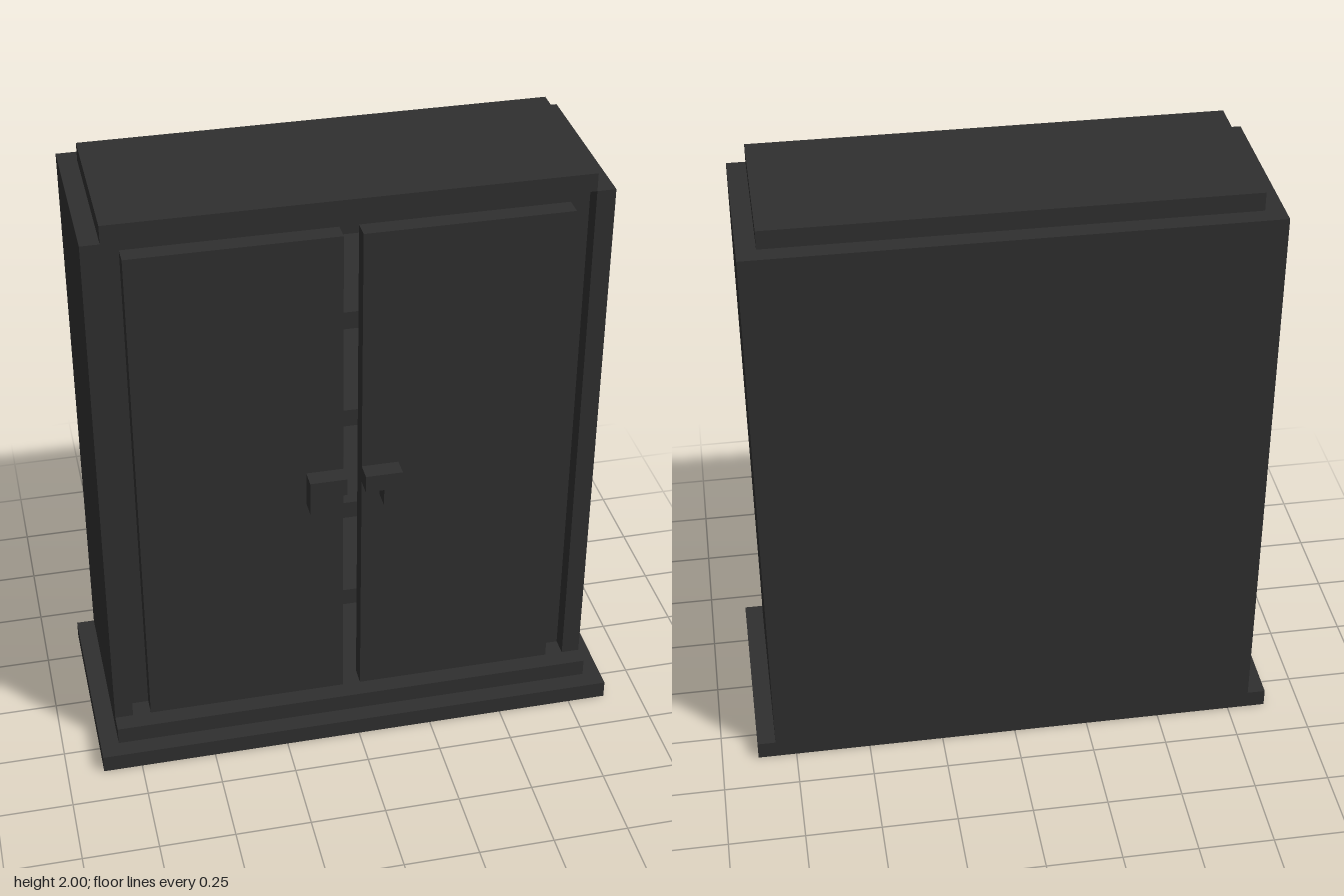
import * as THREE from 'three';

// All sizes below are in whole cells; the cabinet is 33 cells tall.
const U = 2 / 33;

export function createModel() {
  const model = new THREE.Group();
  model.name = 'cabinet';
  const charcoal = new THREE.MeshStandardMaterial({ color: 0x2f2f2f });
  charcoal.name = 'charcoal';

  // Box between two corners, given as ranges in cells
  function block(name, [x0, x1], [y0, y1], [z0, z1]) {
    const mesh = new THREE.Mesh(
      new THREE.BoxGeometry((x1 - x0) * U, (y1 - y0) * U, (z1 - z0) * U), charcoal);
    mesh.position.set((x0 + x1) / 2 * U, (y0 + y1) / 2 * U, (z0 + z1) / 2 * U);
    mesh.name = name;
    model.add(mesh);
  }

  // The same box on both sides; x0 and x1 are given for the left (+x) side
  function pair(name, [x0, x1], y, z) {
    block(name + 'Left', [x0, x1], y, z);
    block(name + 'Right', [-x1, -x0], y, z);
  }

  // Stepped plinth and top cap
  block('basePlate', [-14.5, 14.5], [0, 1], [-6, 6]);
  block('baseStep', [-13.5, 13.5], [1, 2], [-6, 5]);
  block('topCap', [-12.5, 12.5], [32, 33], [-5, 4]);

  // Hollow carcass with a recessed inner frame
  pair('sidePanel', [12.5, 13.5], [2, 32], [-6, 4]);
  block('backPanel', [-12.5, 12.5], [2, 32], [-6, -5]);
  pair('innerFrame', [11.5, 12.5], [2, 32], [-5, 3]);
  block('ceiling', [-11.5, 11.5], [31, 32], [-5, 3]);

  // Shelves, seen through the gap between the doors
  for (const y of [7, 13, 19, 25]) {
    block('shelf', [-11.5, 11.5], [y, y + 1], [-5, 3]);
  }

  // Doors with hooked handles
  pair('door', [0.5, 11.5], [2, 31], [3, 4]);
  pair('handleBar', [0.5, 1.5], [16, 17], [4, 5]);
  pair('handleGrip', [1.5, 2.5], [15, 17], [4, 5]);

  return model;
}
